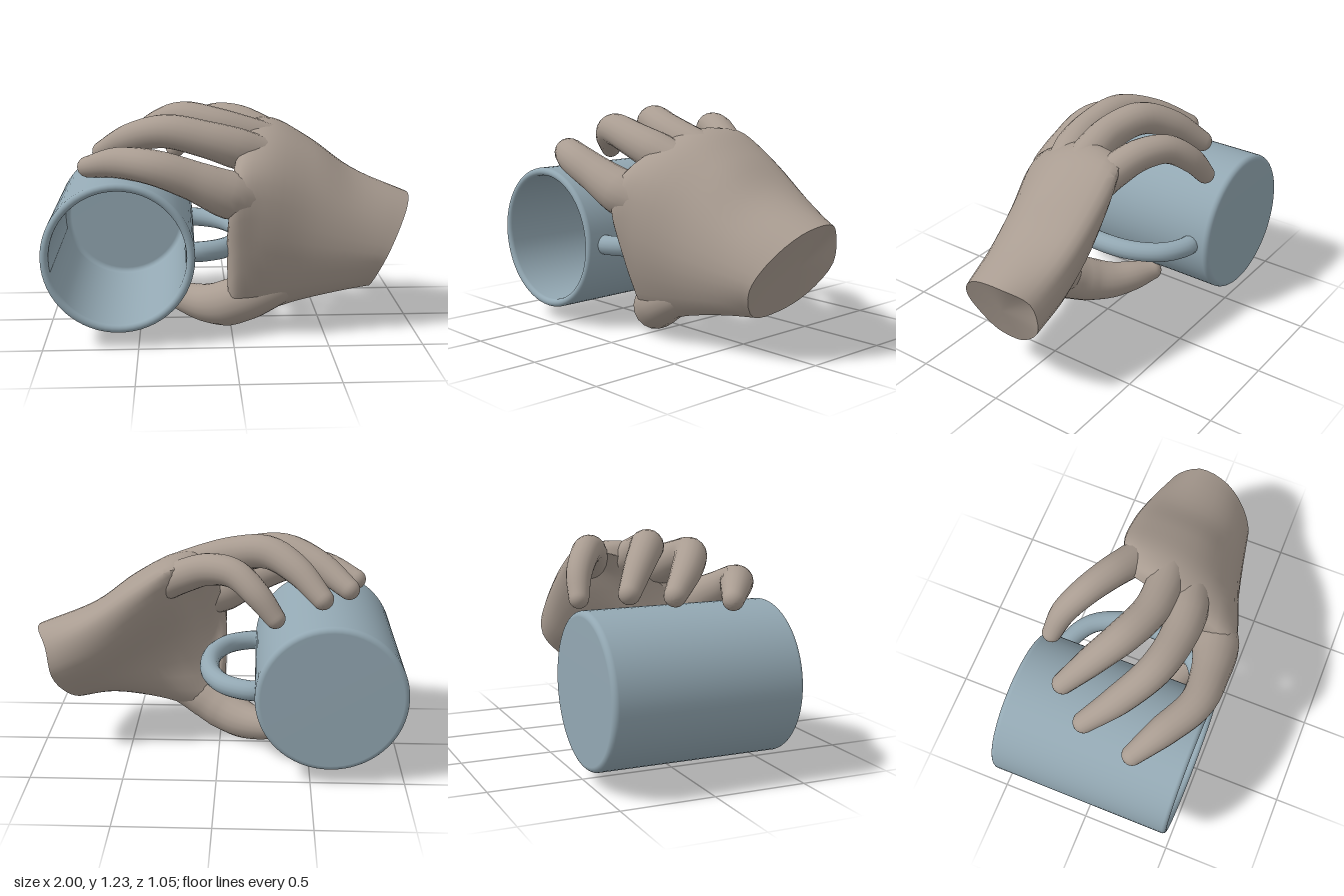
import * as THREE from 'three';
import { toCreasedNormals } from 'three/addons/utils/BufferGeometryUtils.js';

const V = (p) => new THREE.Vector3(...p);

// Skin a list of equal-length rings and close the chosen end rings
function loft(rings, caps) {
  const n = rings[0].length, pos = [], idx = [];
  rings.forEach((ring) => ring.forEach((p) => pos.push(p.x, p.y, p.z)));
  for (let i = 0; i < rings.length - 1; i++) {
    for (let j = 0; j < n; j++) {
      const a = i * n + j, b = i * n + (j + 1) % n;
      idx.push(a, a + n, b, b, a + n, b + n);
    }
  }
  caps.forEach((r) => {
    const c = new THREE.Vector3();
    rings[r].forEach((p) => c.addScaledVector(p, 1 / n));
    const k = pos.length / 3;
    pos.push(c.x, c.y, c.z);
    for (let j = 0; j < n; j++) {
      const a = r * n + j, b = r * n + (j + 1) % n;
      if (r === 0) idx.push(k, a, b); else idx.push(k, b, a);
    }
  });
  const geo = new THREE.BufferGeometry();
  geo.setAttribute('position', new THREE.Float32BufferAttribute(pos, 3));
  geo.setIndex(idx);
  return toCreasedNormals(geo, 0.9);
}

// Tapered tube through points [x, y, z, radius] with a rounded tip
function digit(points) {
  const curve = new THREE.CatmullRomCurve3(points.map((p) => V(p.slice(0, 3))));
  const steps = 30, sides = 18, rings = [];
  const frames = curve.computeFrenetFrames(steps);
  const addRing = (c, i, r) => {
    const ring = [];
    for (let j = 0; j < sides; j++) {
      const a = (j / sides) * Math.PI * 2;
      ring.push(c.clone()
        .addScaledVector(frames.normals[i], Math.cos(a) * r)
        .addScaledVector(frames.binormals[i], -Math.sin(a) * r));
    }
    rings.push(ring);
  };
  for (let i = 0; i <= steps; i++) {
    const t = curve.getUtoTmapping(i / steps) * (points.length - 1);
    const k = Math.min(Math.floor(t), points.length - 2);
    addRing(curve.getPointAt(i / steps), i,
      THREE.MathUtils.lerp(points[k][3], points[k + 1][3], t - k));
  }
  const tip = curve.getPointAt(1), r = points[points.length - 1][3];
  for (let i = 1; i <= 6; i++) {
    const a = (i / 6.2) * Math.PI / 2;
    addRing(tip.clone().addScaledVector(frames.tangents[steps], Math.sin(a) * r), steps, Math.cos(a) * r);
  }
  return loft(rings, [0, rings.length - 1]);
}

// Cupped palm: sections from wrist to knuckles. Each runs over the back of the
// hand (5 spans), down to the thumb and back up inside (4 spans).
function palmGeometry() {
  const sections = [
    [[0.94, 0.64, -0.21], [1, 0.71, -0.08], [0.98, 0.68, 0.1], [0.9, 0.55, 0.25], [0.82, 0.4, 0.3],
      [0.76, 0.24, 0.2], [0.79, 0.25, 0.05], [0.85, 0.33, -0.1], [0.91, 0.48, -0.23]],
    [[0.7, 0.79, -0.25], [0.68, 0.85, -0.08], [0.68, 0.8, 0.13], [0.65, 0.65, 0.29], [0.62, 0.42, 0.34],
      [0.62, 0.23, 0.24], [0.62, 0.27, 0.08], [0.65, 0.42, -0.1], [0.68, 0.6, -0.25]],
    [[0.45, 0.97, -0.26], [0.46, 1.01, -0.08], [0.45, 0.96, 0.15], [0.42, 0.76, 0.34], [0.38, 0.45, 0.39],
      [0.36, 0.18, 0.26], [0.36, 0.25, 0.1], [0.42, 0.5, -0.02], [0.46, 0.78, -0.25]],
    [[0.25, 1.09, -0.24], [0.25, 1.12, -0.03], [0.2, 1.06, 0.2], [0.16, 0.86, 0.43], [0.13, 0.5, 0.45],
      [0.16, 0.12, 0.26], [0.14, 0.2, 0.11], [0.2, 0.55, 0.1], [0.26, 0.92, -0.19]],
    [[0.15, 1.09, -0.2], [0.11, 1.12, 0], [0.05, 1.03, 0.22], [0, 0.83, 0.48], [0.02, 0.5, 0.44],
      [0.03, 0.1, 0.24], [0.03, 0.2, 0.13], [0.06, 0.53, 0.28], [0.13, 0.93, -0.02]],
  ];
  const sides = 36, steps = 25;
  const loops = sections.map((s) => new THREE.CatmullRomCurve3(s.map(V), true));
  const rows = loops.map((l) => Array.from({ length: sides }, (_, j) => l.getPoint(j / sides)));
  // Rounded rim: the back and the inside meet halfway
  const last = loops[loops.length - 1];
  rows.push(rows[0].map((_, j) => {
    const t = j / sides, u = t < 5 / 9 ? t * 9 / 5 : (1 - t) * 9 / 4;
    const p = last.getPoint(u * 5 / 9).lerp(last.getPoint(1 - u * 4 / 9), 0.5);
    p.x -= 0.05;
    return p;
  }));
  const lines = rows[0].map((_, j) => new THREE.CatmullRomCurve3(rows.map((r) => r[j])));
  return loft(Array.from({ length: steps + 1 }, (_, i) => lines.map((l) => l.getPoint(i / steps))), [0]);
}

// Open cup profile with rounded base edge and lip, turned round the z axis
function cupGeometry() {
  const pts = [new THREE.Vector2(0, -0.53)];
  const arc = (cx, cy, r, from, to, n) => {
    for (let i = 0; i <= n; i++) {
      const a = from + ((to - from) * i) / n;
      pts.push(new THREE.Vector2(cx + r * Math.cos(a), cy + r * Math.sin(a)));
    }
  };
  arc(0.37, -0.5, 0.03, -Math.PI / 2, 0, 5);
  arc(0.378, 0.465, 0.022, 0, Math.PI, 10);
  arc(0.326, -0.46, 0.03, 0, -Math.PI / 2, 5);
  pts.push(new THREE.Vector2(0, -0.49));
  return new THREE.LatheGeometry(pts, 64).rotateX(Math.PI / 2);
}

export function createModel() {
  const model = new THREE.Group();
  const skin = new THREE.MeshStandardMaterial({ color: 0xa99c91 });
  const glaze = new THREE.MeshStandardMaterial({ color: 0x93a8b3, side: THREE.DoubleSide });
  const group = (name) => {
    const g = new THREE.Group();
    g.name = name;
    model.add(g);
    return g;
  };
  const add = (parent, name, geo, mat) => {
    const m = new THREE.Mesh(geo, mat);
    m.name = name;
    parent.add(m);
    return m;
  };

  // Mug lying on its side, mouth to the front
  const mug = group('mug');
  add(mug, 'cup', cupGeometry(), glaze).position.set(-0.6, 0.485, 0);
  const loop = new THREE.CatmullRomCurve3([
    [-0.25, 0.49, -0.415], [-0.17, 0.49, -0.41], [-0.05, 0.49, -0.34], [0.03, 0.49, -0.2], [0.055, 0.49, -0.02],
    [0.03, 0.49, 0.16], [-0.05, 0.49, 0.3], [-0.17, 0.49, 0.365], [-0.25, 0.49, 0.37],
  ].map(V));
  add(mug, 'handle', new THREE.TubeGeometry(loop, 48, 0.054, 16), glaze);

  // Hand: fingers over the mug, thumb beneath, each rooted inside the palm
  const hand = group('hand');
  add(hand, 'palm', palmGeometry(), skin);
  const addDigit = (name, ...points) => add(hand, name, digit(points), skin);
  addDigit('indexFinger', [0.32, 0.72, 0.26, 0.05], [0.14, 0.75, 0.33, 0.11], [-0.02, 0.8, 0.39, 0.128],
    [-0.2, 0.88, 0.42, 0.103], [-0.4, 0.95, 0.415, 0.092], [-0.6, 0.96, 0.31, 0.082], [-0.76, 0.92, 0.21, 0.056]);
  addDigit('middleFinger', [0.38, 0.88, 0.1, 0.04], [0.2, 0.95, 0.16, 0.1], [0.03, 1.01, 0.2, 0.11],
    [-0.13, 1.06, 0.21, 0.098], [-0.35, 1.1, 0.17, 0.09], [-0.55, 1.04, 0.05, 0.08], [-0.7, 0.95, -0.08, 0.058]);
  addDigit('ringFinger', [0.42, 0.91, 0, 0.04], [0.25, 1, 0.02, 0.1], [0.08, 1.06, 0.04, 0.1],
    [-0.08, 1.11, 0.03, 0.095], [-0.26, 1.14, -0.04, 0.09], [-0.42, 1.07, -0.15, 0.078], [-0.55, 0.95, -0.26, 0.058]);
  addDigit('littleFinger', [0.42, 0.91, -0.13, 0.04], [0.28, 0.99, -0.14, 0.09], [0.17, 1.05, -0.18, 0.09],
    [0.05, 1.1, -0.24, 0.085], [-0.09, 1.1, -0.32, 0.077], [-0.21, 1.01, -0.4, 0.068], [-0.3, 0.9, -0.435, 0.053]);
  addDigit('thumb', [0.45, 0.36, 0.22, 0.05], [0.25, 0.27, 0.24, 0.11], [0.1, 0.2, 0.22, 0.13],
    [-0.02, 0.14, 0.16, 0.128], [-0.13, 0.11, 0.07, 0.108], [-0.25, 0.115, -0.02, 0.085], [-0.34, 0.125, -0.08, 0.058]);
  return model;
}
